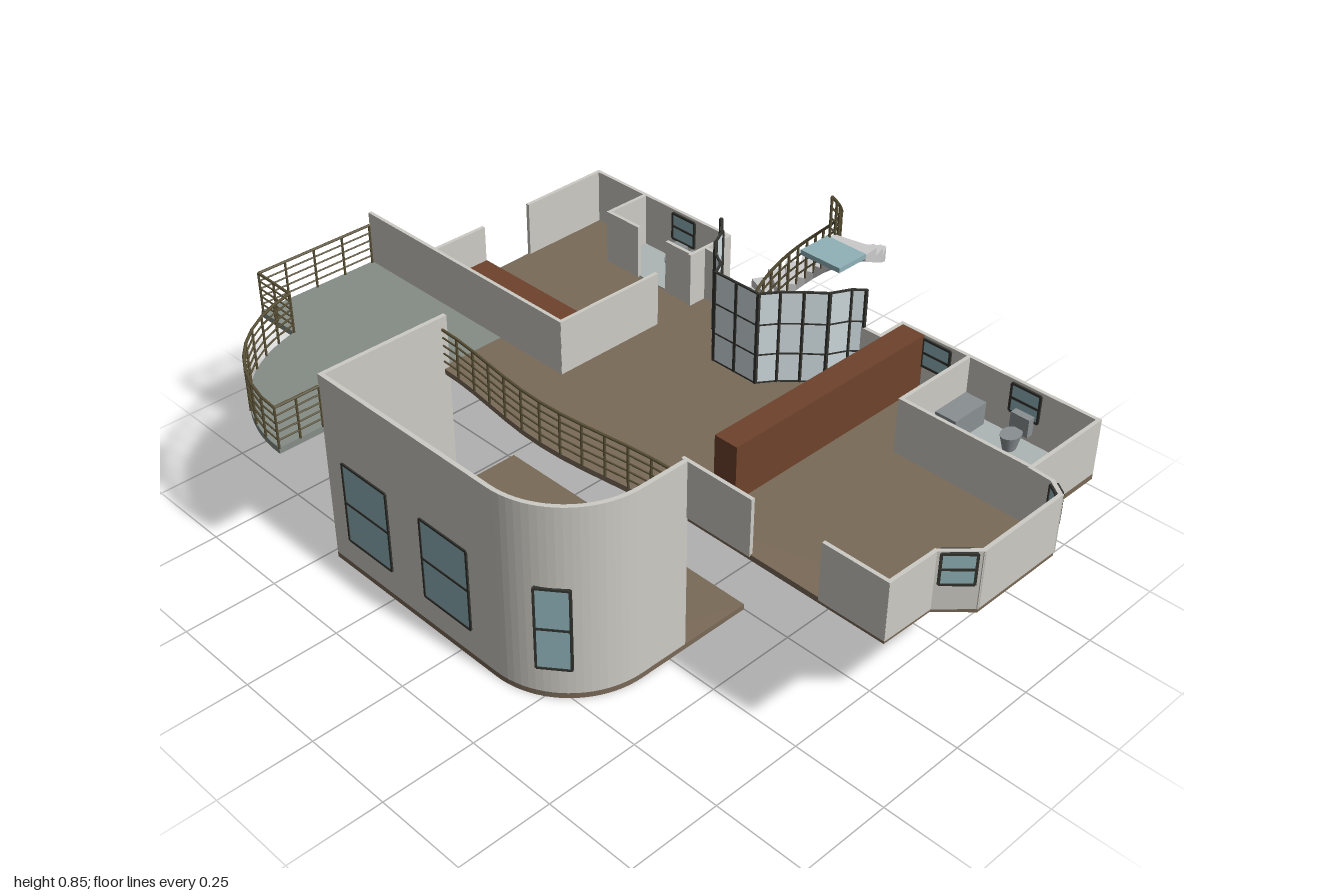
import * as THREE from 'three';

const mat = (color) => new THREE.MeshStandardMaterial({ color });
const M = {
  wall: mat(0xcdcbc4), floor: mat(0x7a6a58), deck: mat(0x858c86), tile: mat(0xaeb6b5),
  glass: mat(0x8fb2b8), pane: mat(0xd3dfe2), frame: mat(0x33332f), rail: mat(0x5a5136),
  wood: mat(0x6e422c), grey: mat(0xcccccc), metal: mat(0x8a9093),
};
const F = 0.395, TOP = 0.545; // upper floor level and wall top

export function createModel() {
  const root = new THREE.Group();
  const group = (name) => {
    const g = new THREE.Group();
    g.name = name;
    root.add(g);
    return g;
  };
  const add = (parent, name, geo, m) => {
    const mesh = new THREE.Mesh(geo, m);
    mesh.name = name;
    parent.add(mesh);
    return mesh;
  };
  const box = (parent, name, x0, x1, y0, y1, z0, z1, m) => {
    const b = add(parent, name, new THREE.BoxGeometry(x1 - x0, y1 - y0, z1 - z0), m);
    b.position.set((x0 + x1) / 2, (y0 + y1) / 2, (z0 + z1) / 2);
    return b;
  };
  // Flat slab from a plan outline of [x, z] points
  const slab = (parent, name, pts, y0, y1, m) => {
    const shape = new THREE.Shape(pts.map(([x, z]) => new THREE.Vector2(x, -z)));
    const geo = new THREE.ExtrudeGeometry(shape, { depth: y1 - y0, bevelEnabled: false });
    geo.rotateX(-Math.PI / 2).translate(0, y0, 0);
    return add(parent, name, geo, m);
  };
  // Upright panel between two plan points
  const panel = (parent, name, [x0, z0], [x1, z1], y0, y1, t, m) => {
    const len = Math.hypot(x1 - x0, z1 - z0);
    const p = add(parent, name, new THREE.BoxGeometry(len + t * 0.9, y1 - y0, t), m);
    p.position.set((x0 + x1) / 2, (y0 + y1) / 2, (z0 + z1) / 2);
    p.rotation.y = -Math.atan2(z1 - z0, x1 - x0);
    return p;
  };
  // Straight round bar between two points
  const bar = (parent, name, a, b, r = 0.003) => {
    const p = new THREE.Vector3(...a), q = new THREE.Vector3(...b), d = q.clone().sub(p);
    const c = add(parent, name, new THREE.CylinderGeometry(r, r, d.length(), 6), M.rail);
    c.position.copy(p).add(q).multiplyScalar(0.5);
    c.quaternion.setFromUnitVectors(new THREE.Vector3(0, 1, 0), d.normalize());
  };
  const arc = (cx, cz, r, a0, a1, n) => Array.from({ length: n + 1 }, (_, i) => {
    const a = a0 + (a1 - a0) * i / n;
    return [cx + r * Math.cos(a), cz + r * Math.sin(a)];
  });
  // Railing along [x, y, z] points, a post at each one
  const railing = (name, pts, h, levels) => {
    const g = group(name);
    pts.forEach((p, i) => {
      bar(g, 'post', p, [p[0], p[1] + h, p[2]], 0.0035);
      if (!i) return;
      const o = pts[i - 1];
      for (let k = 1; k <= levels; k++) {
        const y = h * k / levels;
        bar(g, 'rail', [o[0], o[1] + y, o[2]], [p[0], p[1] + y, p[2]], k === levels ? 0.004 : 0.0025);
      }
    });
  };
  // Window with frame and cross bar, turned by an angle about y
  const windowUnit = (x, z, w, y0, y1, turn = 0) => {
    const g = group('window'), h = y1 - y0;
    box(g, 'glass', -w / 2, w / 2, 0, h, -0.008, 0.008, M.glass);
    for (const y of [0, h / 2, h]) box(g, 'frameBar', -w / 2, w / 2, y - 0.003, y + 0.003, -0.01, 0.01, M.frame);
    for (const s of [-1, 1]) box(g, 'frameSide', s * w / 2 - 0.003, s * w / 2 + 0.003, 0, h, -0.01, 0.01, M.frame);
    g.position.set(x, y0, z);
    g.rotation.y = turn;
  };

  // Lower floor and its tall rounded wall
  const bend = (r, n = 20) => arc(0.125, 0.34, r, 0, Math.PI / 2, n);
  slab(root, 'lowerFloor', [[-0.475, 0], [0.36, 0], ...bend(0.235), [-0.475, 0.575]], 0, 0.015, M.floor);
  slab(root, 'tallCurvedWall', [[0.36, 0.2], ...bend(0.235), [-0.475, 0.575], [-0.475, 0.2],
    [-0.463, 0.2], [-0.463, 0.563], ...bend(0.223).reverse(), [0.348, 0.2]], 0.015, TOP, M.wall);
  windowUnit(-0.33, 0.569, 0.165, 0.09, 0.32);
  windowUnit(-0.04, 0.569, 0.165, 0.09, 0.32);
  const mid = 52 * Math.PI / 180;
  windowUnit(0.125 + 0.23 * Math.cos(mid), 0.34 + 0.23 * Math.sin(mid), 0.082, 0.09, 0.32, Math.PI / 2 - mid);

  // Upper floor with the stair notch and a bowed gallery edge
  const gallery = Array.from({ length: 13 }, (_, i) => {
    const t = i / 12;
    return [0.33 - 0.805 * t, 0.215 + 0.035 * Math.sin(Math.PI * t) ** 2];
  });
  slab(root, 'upperFloor', [[-0.75, -0.575], [-0.25, -0.575], [-0.25, -0.485],
    ...arc(0.035, -0.49, 0.11, Math.PI, 0, 16), [0.325, -0.485], [0.325, -0.57], [0.895, -0.57], [0.895, -0.31],
    [0.95, -0.31], [0.995, -0.28], [0.995, -0.015], [0.925, 0.055], [0.922, 0.2], [0.33, 0.2],
    ...gallery, [-0.475, 0.02], [-0.73, 0.02]], 0.38, F, M.floor);
  railing('galleryRailing', gallery.map(([x, z]) => [x, F, z]), 0.115, 5);
  box(root, 'leftBathFloor', -0.56, -0.252, 0.378, F + 0.003, -0.573, -0.435, M.tile);
  box(root, 'rightBathFloor', 0.53, 0.893, 0.378, F + 0.003, -0.568, -0.315, M.tile);

  // Balcony
  const round = arc(-0.475, 0.31, 0.39, Math.PI - 0.19, Math.PI / 2, 18);
  slab(root, 'balconyFloor', [[-1, 0.02], [-1, 0.385], ...round, [-0.475, 0.02]], 0.379, F + 0.001, M.deck);
  const edge = [[-0.995, 0.03], [-0.995, 0.12], [-0.995, 0.21], [-0.995, 0.3], [-0.995, 0.382], [-0.93, 0.382],
    ...round.filter((_, i) => i % 2 === 0), [-0.475, 0.64], [-0.475, 0.575]];
  railing('balconyRailing', edge.map(([x, z]) => [x, F, z]), 0.115, 5);

  // Upper walls, each run a list of plan points
  const walls = group('upperWalls');
  [
    [[-0.73, -0.14], [-0.73, 0.02]], [[-0.74, -0.31], [-0.745, -0.57], [-0.254, -0.57], [-0.254, -0.43]],
    [[-0.995, 0.02], [-0.25, 0.02], [-0.25, -0.3]],
    [[-0.56, -0.57], [-0.56, -0.435], [-0.45, -0.435]], [[-0.34, -0.435], [-0.254, -0.435]],
    [[-0.25, -0.483], [-0.2, -0.483]], [[0.27, -0.483], [0.328, -0.483], [0.328, -0.566], [0.89, -0.566],
      [0.89, -0.312], [0.95, -0.308], [0.991, -0.28], [0.991, -0.016], [0.923, 0.055], [0.92, 0.198], [0.75, 0.198]],
    [[0.545, 0.198], [0.345, 0.198]], [[0.53, -0.566], [0.53, -0.315], [0.89, -0.315]],
  ].forEach((run) => run.slice(1).forEach((p, i) => panel(walls, 'wall', run[i], p, F - 0.005, TOP, 0.01, M.wall)));
  windowUnit(-0.41, -0.57, 0.08, 0.46, 0.535);
  windowUnit(0.7, -0.566, 0.08, 0.46, 0.535);
  windowUnit(0.44, -0.566, 0.08, 0.46, 0.535);
  windowUnit(0.957, 0.02, 0.075, 0.46, 0.54, Math.PI / 4);
  windowUnit(0.971, -0.294, 0.034, 0.46, 0.54, -0.6);

  // Built-in cupboards
  box(root, 'longCupboard', 0.333, 0.4, F, TOP, -0.56, 0.09, M.wood);
  box(root, 'bedroomCupboard', -0.6, -0.256, F, 0.54, -0.045, 0.014, M.wood);

  // Bathroom fittings
  const toilet = (x, z, s) => {
    const g = group('toilet');
    const bowl = add(g, 'bowl', new THREE.CylinderGeometry(0.024, 0.014, 0.045, 16), M.metal);
    bowl.scale.z = 1.3;
    bowl.position.set(0, 0.0225, 0.035);
    box(g, 'cistern', -0.026, 0.026, 0.03, 0.08, -0.012, 0.008, M.metal);
    g.position.set(x, F, z);
    g.scale.setScalar(s);
  };
  toilet(0.705, -0.545, 1);
  toilet(-0.41, -0.55, 0.8);
  box(root, 'rightBasin', 0.545, 0.605, F, 0.46, -0.545, -0.43, M.metal);
  box(root, 'leftCounter', -0.375, -0.265, F, 0.455, -0.562, -0.52, M.metal);
  box(root, 'leftCabinet', -0.315, -0.265, F, 0.455, -0.52, -0.445, M.metal);

  // Glazed screen around the stair
  const screen = group('glazedScreen');
  const path = [[-0.2, -0.483], [-0.155, -0.44], [-0.13, -0.39], [-0.085, -0.345], [-0.05, -0.325], [-0.03, -0.287],
    [0.04, -0.287], [0.11, -0.287], [0.14, -0.33], [0.18, -0.37], [0.225, -0.41], [0.25, -0.46], [0.275, -0.483]];
  path.forEach((p, i) => {
    box(screen, 'mullion', p[0] - 0.004, p[0] + 0.004, F, 0.65, p[1] - 0.004, p[1] + 0.004, M.frame);
    if (!i) return;
    panel(screen, 'pane', path[i - 1], p, F, 0.65, 0.003, M.pane);
    for (const y of [F, 0.475, 0.56, 0.647]) panel(screen, 'transom', path[i - 1], p, y, y + 0.004, 0.006, M.frame);
  });

  // Spiral stair: wedge steps with a sloping soffit
  const stair = group('spiralStair');
  const cx = 0.035, cz = -0.49, N = 16, rise = 0.355 / N, turn = Math.PI / N;
  const step = (phi, y) => {
    const geo = new THREE.BoxGeometry(1, 1, 1), p = geo.attributes.position;
    for (let i = 0; i < p.count; i++) {
      const t = p.getZ(i) + 0.5, a = phi - t * turn, r = p.getX(i) > 0 ? 0.225 : 0.11;
      p.setXYZ(i, cx + r * Math.cos(a), p.getY(i) > 0 ? y + rise : y - 0.018 + rise * t, cz - r * Math.sin(a));
    }
    geo.computeVertexNormals();
    add(stair, 'step', geo, M.grey);
  };
  for (let i = 0; i < N; i++) step(Math.PI - i * turn, 0.38 + i * rise);
  for (let i = 1; i <= 7; i++) step(i * turn, 0.395 - i * rise);
  box(stair, 'topLanding', 0.14, 0.26, 0.725, 0.738, -0.49, -0.395, M.glass);
  const handrail = (from, to, y0) => Array.from({ length: to - from + 1 }, (_, k) => {
    const a = Math.PI - (from + k) * turn;
    return [cx + 0.112 * Math.cos(a), y0 + (from + k) * rise, cz - 0.112 * Math.sin(a)];
  });
  railing('stairRailing', handrail(0, N, 0.38), 0.11, 4);

  return root;
}
